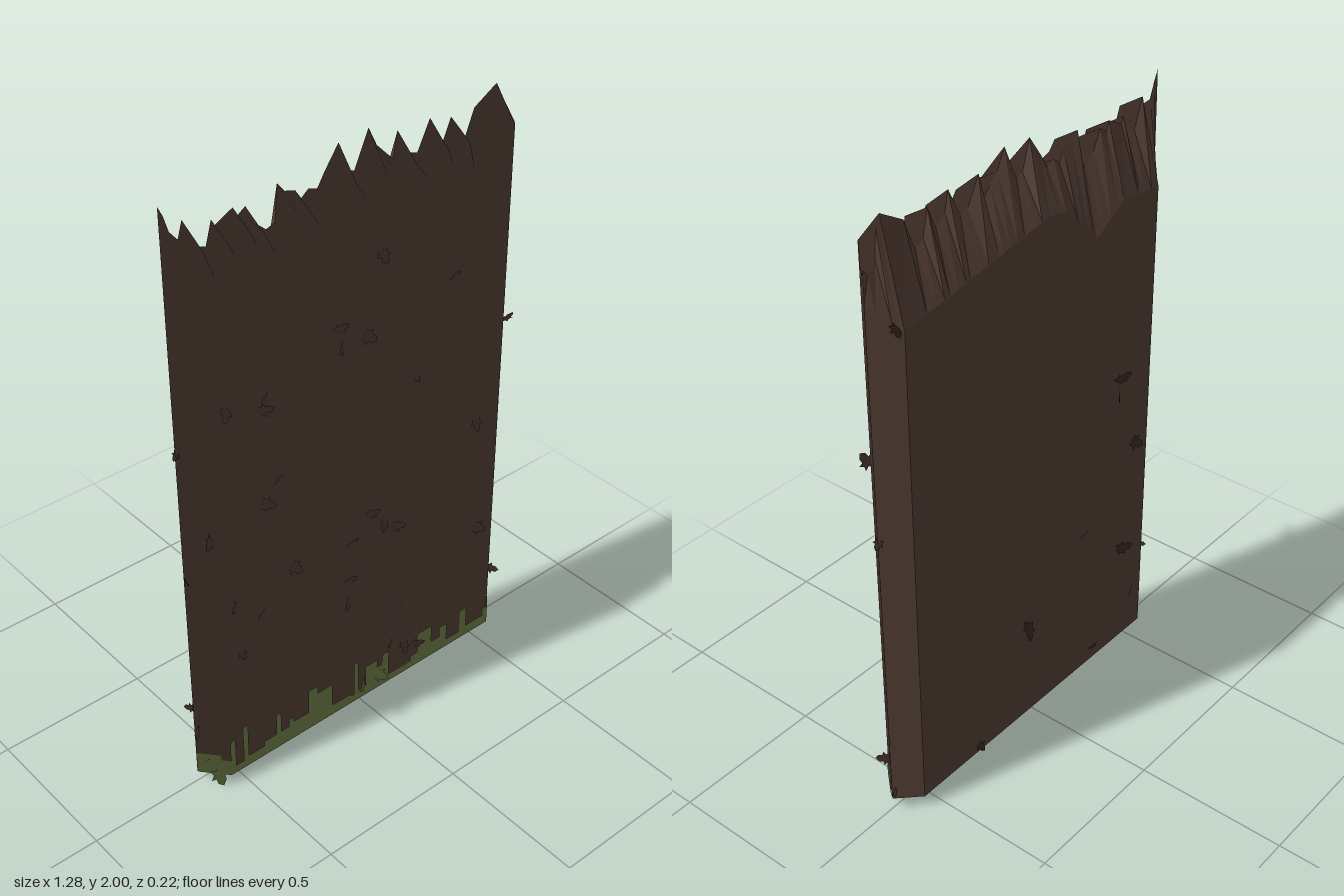
import * as THREE from 'three';

const mat = (name, color, side = THREE.FrontSide) => {
  const m = new THREE.MeshStandardMaterial({ color, side });
  m.name = name;
  return m;
};

// Half-width profile: flat faces that taper to a point at both ends
const taper = (x) => Math.min(1, Math.max(0, (0.62 - Math.abs(x)) / 0.07));
const frontZ = (x) => 0.08 * taper(x);
const backZ = (x) => -0.07 * taper(x);

// Splintered top ridge
const RIDGE = [
  [-0.62, 2.0], [-0.605, 1.97], [-0.59, 1.92], [-0.565, 1.89], [-0.55, 1.94], [-0.515, 1.85],
  [-0.48, 1.84], [-0.46, 1.91], [-0.45, 1.89], [-0.39, 1.92], [-0.38, 1.89], [-0.35, 1.91],
  [-0.32, 1.85], [-0.285, 1.82], [-0.255, 1.83], [-0.245, 1.94], [-0.22, 1.91], [-0.185, 1.9],
  [-0.165, 1.87], [-0.14, 1.89], [-0.11, 1.88], [-0.085, 1.92], [-0.035, 1.99], [-0.005, 1.9],
  [0.02, 1.89], [0.07, 2.0], [0.1, 1.94], [0.13, 1.91], [0.16, 1.88], [0.175, 1.96],
  [0.22, 1.88], [0.25, 1.87], [0.295, 1.96], [0.31, 1.9], [0.345, 1.87], [0.375, 1.94],
  [0.395, 1.86], [0.425, 1.84], [0.465, 1.94], [0.55, 1.99], [0.565, 1.96], [0.572, 1.87],
  [0.6, 1.84], [0.62, 1.86],
];

// Broken edge along the top of the back
const BACK = [[-0.62, 1.7], [-0.55, 1.68], [-0.38, 1.7], [-0.25, 1.62], [-0.12, 1.76],
  [-0.05, 1.78], [0.3, 1.72], [0.55, 1.68], [0.62, 1.76]];
const backTop = (x) => {
  const i = Math.max(1, BACK.findIndex((p) => p[0] >= x));
  const [a, b] = [BACK[i - 1], BACK[i]];
  return a[1] + (b[1] - a[1]) * (x - a[0]) / (b[0] - a[0]);
};

// Growing moss: [start x, height]
const MOSS = [
  [-0.62, 0.12], [-0.57, 0.1], [-0.55, 0.18], [-0.53, 0.07], [-0.5, 0.21], [-0.48, 0.08],
  [-0.42, 0.1], [-0.37, 0.18], [-0.35, 0.1], [-0.32, 0.13], [-0.3, 0.11], [-0.24, 0.2],
  [-0.2, 0.17], [-0.14, 0.08], [-0.06, 0.07], [-0.05, 0.2], [-0.03, 0.08], [0, 0.16],
  [0.05, 0.13], [0.07, 0.17], [0.1, 0.07], [0.2, 0.09], [0.23, 0.17], [0.29, 0.1],
  [0.33, 0.14], [0.36, 0.07], [0.42, 0.16], [0.45, 0.08], [0.53, 0.11], [0.55, 0.13], [0.62, 0],
];

// Quads between two rows of points; an optional fixed normal keeps a surface evenly shaded
function strip(rows, normal) {
  const pos = [];
  for (let r = 0; r + 1 < rows.length; r++) {
    const [A, B] = [rows[r], rows[r + 1]];
    for (let i = 0; i + 1 < A.length; i++) {
      pos.push(...A[i], ...A[i + 1], ...B[i + 1], ...A[i], ...B[i + 1], ...B[i]);
    }
  }
  const g = new THREE.BufferGeometry();
  g.setAttribute('position', new THREE.Float32BufferAttribute(pos, 3));
  g.computeVertexNormals();
  if (normal) setNormals(g, normal);
  return g;
}

function setNormals(g, n) {
  const a = g.attributes.normal;
  for (let i = 0; i < a.count; i++) a.setXYZ(i, ...n);
}

// Jagged leaf standing away from the surface it grows on
function leafGeometry() {
  const s = new THREE.Shape();
  const half = [[0.006, 0.012], [0.026, 0.006], [0.02, 0.022], [0.033, 0.034], [0.016, 0.036], [0.016, 0.052]];
  s.moveTo(0, 0);
  half.forEach(([x, y]) => s.lineTo(x, y));
  s.lineTo(0, 0.066);
  half.reverse().forEach(([x, y]) => s.lineTo(-x, y));
  const g = new THREE.ShapeGeometry(s);
  g.rotateX(0.55);
  setNormals(g, [0, 0, 1]);
  return g;
}

export function createModel() {
  const root = new THREE.Group();
  root.name = 'brokenPlank';
  const bark = mat('bark', 0x513c33);
  const barkLeaf = mat('barkLeaf', 0x4c3830, THREE.DoubleSide);
  const dryLeaf = mat('dryLeaf', 0x38291f, THREE.DoubleSide);
  const moss = mat('moss', 0x6c7846, THREE.DoubleSide);
  const add = (name, geo, material, parent = root) => {
    const m = new THREE.Mesh(geo, material);
    m.name = name;
    parent.add(m);
    return m;
  };

  // Plank shell
  const Y0 = 0.04;
  const ridge = RIDGE.map(([x, y]) => [x, y, 0]);
  const frontLow = RIDGE.map(([x]) => [x, Y0, frontZ(x)]);
  const frontHigh = RIDGE.map(([x, y]) => [x, Math.min(1.89, y - 0.05 * taper(x)), frontZ(x)]);
  const backLow = RIDGE.map(([x]) => [x, Y0, backZ(x)]);
  const backHigh = RIDGE.map(([x]) => [x, backTop(x), backZ(x)]);
  add('plankFront', strip([frontLow, frontHigh, ridge], [0, 0, 1]), bark);
  add('plankBack', strip([ridge, backHigh, backLow]), bark);
  add('plankUnderside', strip([backLow, frontLow]), moss);

  // Moss plate with a stepped upper edge
  const low = [], high = [];
  for (let i = 0; i + 1 < MOSS.length; i++) {
    for (const x of [MOSS[i][0], MOSS[i + 1][0]]) {
      low.push([x, Y0, frontZ(x) + 0.004]);
      high.push([x, MOSS[i][1], frontZ(x) + 0.004]);
    }
  }
  add('mossEdge', strip([low, high], [0, 0, 1]), moss);

  // Leaves scattered over every side
  const leaf = leafGeometry();
  const scatter = (name, spots, material, place, yaw) => {
    const group = new THREE.Group();
    group.name = name;
    root.add(group);
    spots.forEach(([x, y, size = 0.8], i) => {
      const m = add('leaf', leaf, material, group);
      m.position.set(x, y, place(x));
      m.rotation.set(0, yaw, ((i * 2.4) % 6.28) - 3.14, 'YXZ');
      m.scale.setScalar(size);
    });
  };
  const inFront = (x) => frontZ(x) - 0.002;
  const behind = (x) => backZ(x) + 0.002;
  scatter('frontLeaves', [
    [0.05, 1.68], [-0.12, 1.47], [-0.08, 1.42], [-0.02, 1.43], [0.33, 1.47], [-0.5, 1.4],
    [-0.4, 1.33], [-0.36, 1.36], [0.19, 1.2, 0.4], [0.57, 1.22], [-0.56, 0.98], [-0.4, 1.02],
    [-0.33, 1.06], [0.45, 0.94], [0, 0.77], [-0.49, 0.7], [-0.3, 0.75], [-0.06, 0.69],
    [0.08, 0.73], [0.1, 0.68], [-0.4, 0.61], [-0.49, 0.52, 0.5], [-0.08, 0.55], [-0.06, 0.48],
    [0.46, 0.5], [0.14, 0.32, 0.6], [0.17, 0.18], [0.2, 0.13], [0.12, 0.2],
  ], barkLeaf, inFront, 0);
  scatter('backLeaves', [
    [0.57, 1.71, 0.7], [-0.37, 1.08, 1], [-0.4, 1.04], [-0.46, 0.83], [-0.22, 0.58], [0.05, 0.42, 1.1],
    [-0.4, 0.42, 1], [-0.5, 0.2], [0.3, 0.08, 0.6], [-0.27, 0.08, 0.7],
  ], dryLeaf, behind, Math.PI);
  scatter('rightEndLeaves', [[-0.61, 1.26, 0.5], [-0.61, 0.8, 0.6], [-0.61, 0.3, 0.6], [-0.61, 0.23, 0.8]],
    dryLeaf, () => 0, -Math.PI / 2);
  scatter('leftEndLeaves', [[0.61, 1.03, 0.6], [0.61, 0.26, 0.7], [0.61, 0.2, 0.8], [0.61, 0.08, 0.5]],
    dryLeaf, () => 0, Math.PI / 2);
  scatter('mossyLeaves', [[-0.58, 0.07, 1], [-0.6, 0.08, 0.7], [0, 0.1], [0.04, 0.11], [-0.02, 0.07]],
    moss, (x) => frontZ(x) + 0.002, 0);

  // Leaf hanging below the bottom edge
  const hanging = add('hangingLeaf', leaf, moss);
  hanging.position.set(0.38, 0.054, 0.01);
  hanging.rotation.z = Math.PI;
  hanging.scale.setScalar(0.96);
  return root;
}
